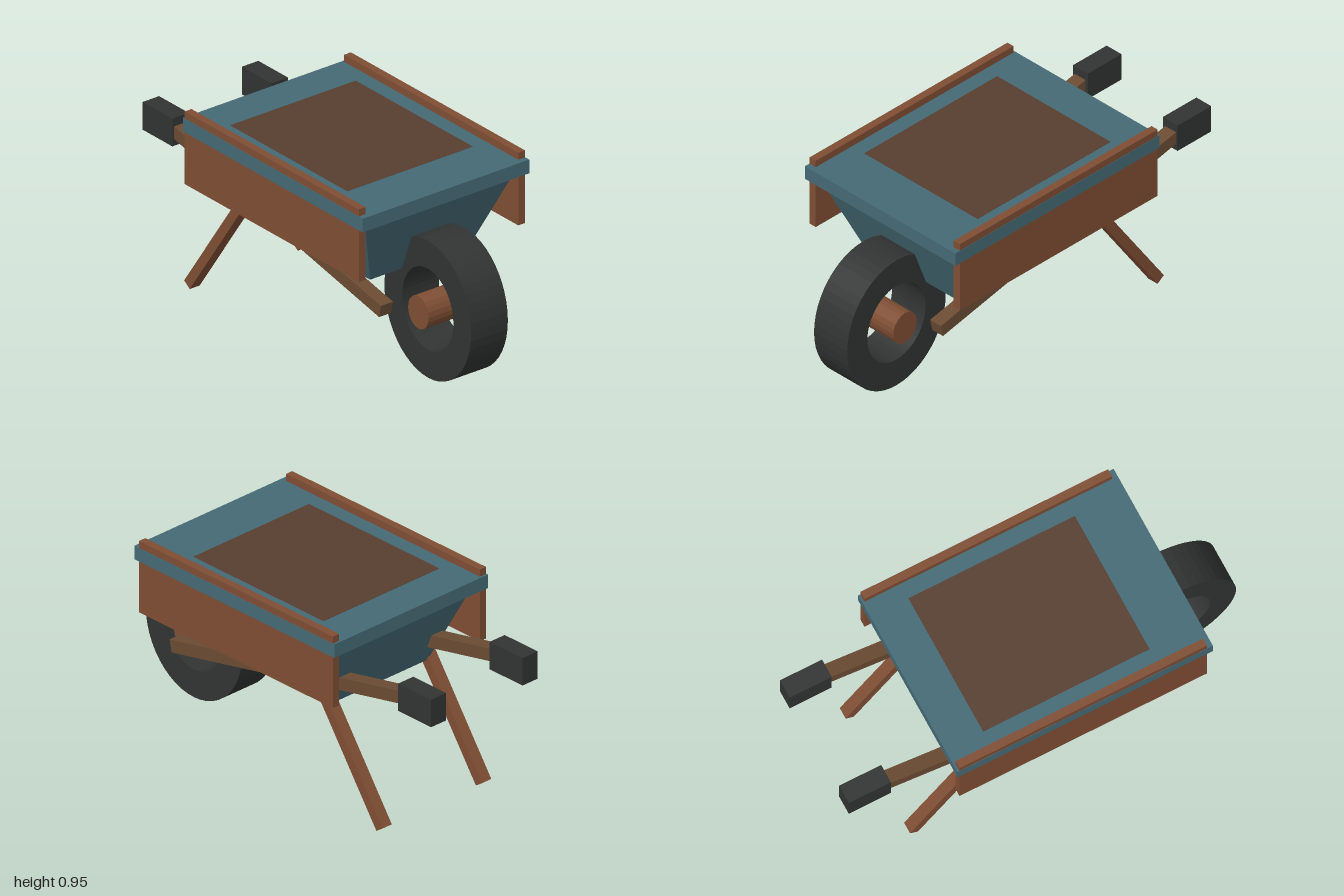
import * as THREE from 'three';

const mat = (color) => new THREE.MeshStandardMaterial({ color, flatShading: true });

export function createModel() {
  const model = new THREE.Group();
  const teal = mat(0x456a75);
  const wood = mat(0x7f4e34);
  const darkWood = mat(0x6b4c33);
  const soil = mat(0x573f30);
  const rubber = mat(0x313433);

  const add = (name, geometry, material, x, y, z) => {
    const mesh = new THREE.Mesh(geometry, material);
    mesh.name = name;
    mesh.position.set(x, y, z);
    model.add(mesh);
    return mesh;
  };
  const box = (name, material, w, h, d, x, y, z) =>
    add(name, new THREE.BoxGeometry(w, h, d), material, x, y, z);

  // Square bar between two [y, z] points at a fixed x
  const bar = (name, material, w, t, x, [y1, z1], [y2, z2]) => {
    const length = Math.hypot(y2 - y1, z2 - z1);
    const mesh = box(name, material, w, t, length, x, (y1 + y2) / 2, (z1 + z2) / 2);
    mesh.rotation.x = Math.atan2(y1 - y2, z2 - z1);
  };

  // Tray: a box whose lower corners are pulled inwards
  const trayGeo = new THREE.BoxGeometry(0.82, 0.355, 1.15);
  const p = trayGeo.attributes.position;
  for (let i = 0; i < p.count; i++) {
    if (p.getY(i) < 0) {
      p.setX(i, Math.sign(p.getX(i)) * 0.275);
      p.setZ(i, Math.sign(p.getZ(i)) * 0.44);
    }
  }
  trayGeo.computeVertexNormals();
  add('tray', trayGeo, teal, 0, 0.6725, 0.08);
  box('rim', teal, 0.917, 0.066, 1.243, 0, 0.882, 0.077);
  box('load', soil, 0.69, 0.02, 0.81, 0, 0.906, 0.045);

  // Tyre: a ring extruded across the width, slightly taller than long
  const ring = new THREE.Shape().absarc(0, 0, 0.3, 0, Math.PI * 2);
  ring.holes.push(new THREE.Path().absarc(0, 0, 0.177, 0, Math.PI * 2, true));
  const tyreGeo = new THREE.ExtrudeGeometry(ring, { depth: 0.202, bevelEnabled: false, curveSegments: 24 });
  tyreGeo.translate(0, 0, -0.101).rotateY(Math.PI / 2).scale(1, 1.1, 1);
  add('tyre', tyreGeo, rubber, 0, 0.37, 0.7);

  // Axle
  const axleGeo = new THREE.CylinderGeometry(0.071, 0.071, 0.306, 20);
  axleGeo.rotateZ(Math.PI / 2).scale(1, 1.1, 1);
  add('axle', axleGeo, wood, 0, 0.37, 0.7);

  // Mirrored side boards, handles, grips and legs
  for (const [s, side] of [[1, 'left'], [-1, 'right']]) {
    box(side + 'SideBoard', wood, 0.037, 0.35, 1.205, s * 0.4385, 0.774, 0.068);
    bar(side + 'Handle', darkWood, 0.066, 0.06, s * 0.275, [0.395, 0.63], [0.703, -0.82]);
    box(side + 'Grip', rubber, 0.09, 0.134, 0.205, s * 0.273, 0.702, -0.8975);
    bar(side + 'Leg', wood, 0.055, 0.047, s * 0.297, [0.555, -0.31], [0.014, -0.686]);
  }
  return model;
}
